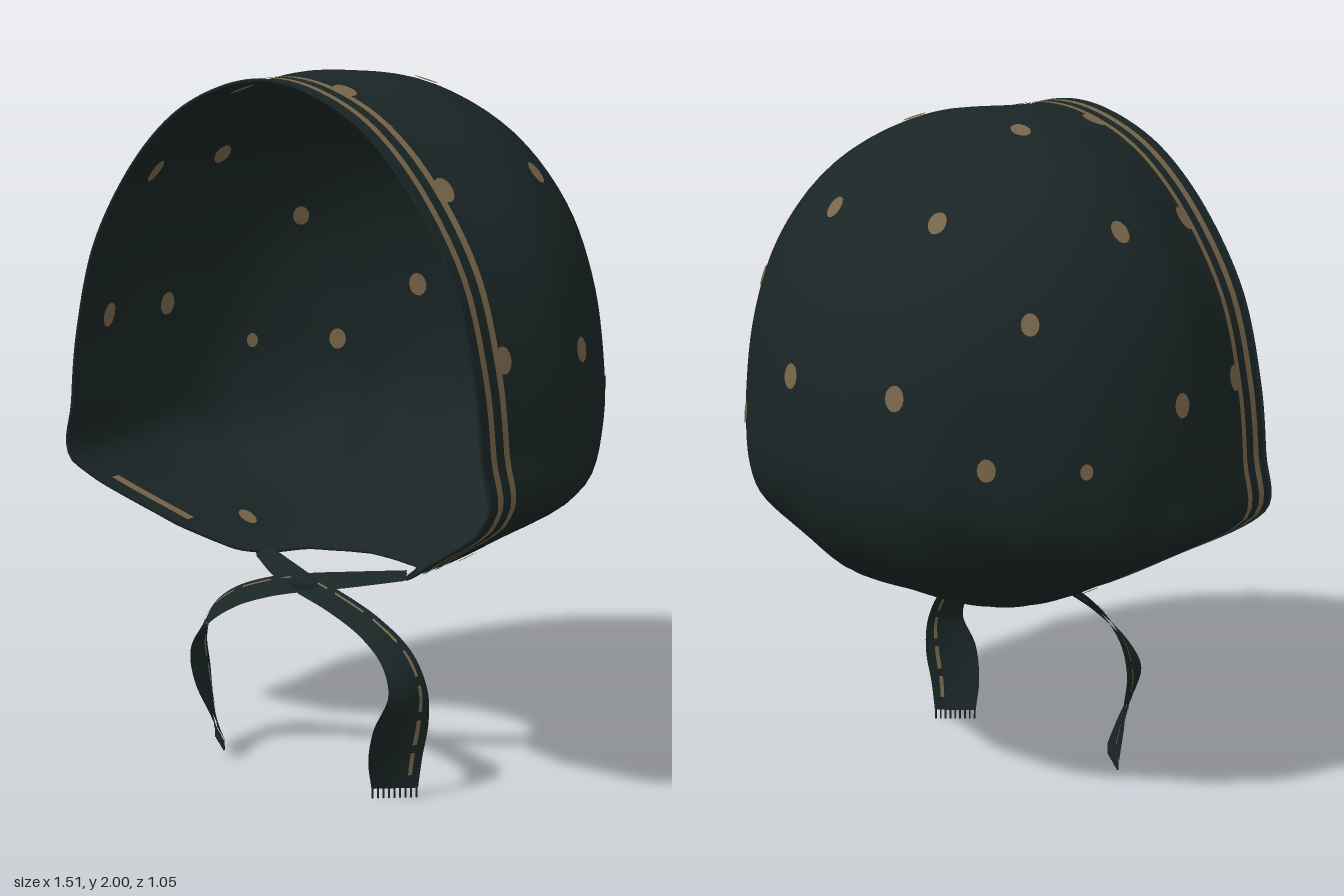
import * as THREE from 'three';
import { mergeVertices } from 'three/addons/utils/BufferGeometryUtils.js';

const { smoothstep, lerp, clamp } = THREE.MathUtils;
const V = (x, y, z) => new THREE.Vector3(x, y, z);

const cloth = new THREE.MeshStandardMaterial({ name: 'dark green cloth', color: 0x1a2525, side: THREE.DoubleSide });
const tan = new THREE.MeshStandardMaterial({ name: 'tan print', color: 0x78664a, side: THREE.DoubleSide });

// Half outlines (x, y) from crown to chin, mirrored into smooth curves
const mirrored = (half) => new THREE.SplineCurve([
  ...half.slice(1).reverse().map(([x, y]) => new THREE.Vector2(-x, y)),
  ...half.map(([x, y]) => new THREE.Vector2(x, y)),
]);
const neck = [[0.49, 0.715], [0.25, 0.593], [0, 0.583]];
const faceOutline = mirrored([[0, 1.99], [0.16, 1.96], [0.325, 1.875], [0.48, 1.72], [0.615, 1.5], [0.685, 1.25], [0.712, 1.04], [0.72, 0.87], ...neck]);
const sideOutline = mirrored([[0, 2], [0.2, 1.98], [0.41, 1.875], [0.575, 1.715], [0.69, 1.5], [0.738, 1.25], [0.75, 1.03], [0.733, 0.87], ...neck]);
const backOutline = mirrored([[0, 2], [0.22, 1.983], [0.43, 1.885], [0.6, 1.7], [0.695, 1.48], [0.738, 1.25], [0.74, 1.04], [0.67, 0.84], ...neck]);

// Front edge and neck rim: z for each outline position t (0 crown, 1 nape)
const edge = [[0, 0.52], [0.7, 0.52], [0.74, 0.48], [0.82, 0.38], [0.88, 0.27], [0.9, 0.19], [0.92, 0.068], [0.94, 0.042], [0.96, 0.028], [1, 0.02]];
const BACK = -0.525;
const MID_Y = 1.1;
const MID_Z = 0.15;
function edgeZ(t) {
  const a = Math.min(Math.abs(t), 1);
  let i = 1;
  while (i < edge.length - 1 && edge[i][0] < a) i++;
  const [t0, z0] = edge[i - 1], [t1, z1] = edge[i];
  return lerp(z0, z1, (a - t0) / (t1 - t0));
}

const bump = (a, centre, width) => Math.exp(-(((a - centre) / width) ** 2));

// Point of the hood at outline position t (-1..1) and depth z
function hoodPoint(t, z) {
  const u = clamp((t + 1) / 2, 0, 1), a = Math.abs(t);
  const q = clamp((MID_Z - z) / (MID_Z - BACK), 0, 1);
  const p = sideOutline.getPoint(u)
    .lerp(faceOutline.getPoint(u), smoothstep(z, 0.12, 0.46))
    .lerp(backOutline.getPoint(u), smoothstep(q, 0, 0.6));
  const round = Math.pow(1 - Math.pow(q, 2.1), 1 / 2.1);
  // Gathered folds: one pushed out on the left, one drawn in on the right
  const turn = Math.atan2(p.x * round, MID_Z - z + 0.01);
  const fade = (1 - smoothstep(a, 0.7, 0.88)) * smoothstep(q, 0.05, 0.4);
  const ripple = smoothstep(a, 0.45, 0.65) * (0.01 * Math.cos(16 * turn) + 0.08 * bump(turn, 0.62, 0.11));
  const drawn = smoothstep(a, 0.3, 0.55) * 0.09 * bump(turn, -0.66, 0.2);
  const s = round * (1 + fade * (ripple - drawn));
  return V(p.x * s, MID_Y + (p.y - MID_Y) * s, z);
}

function hoodNormal(t, z) {
  const e = 0.004;
  const dt = hoodPoint(t + e, z).sub(hoodPoint(t - e, z));
  const dz = hoodPoint(t, z + e).sub(hoodPoint(t, z - e));
  const n = dt.cross(dz).normalize();
  return n.dot(hoodPoint(t, z).sub(V(0, MID_Y, MID_Z))) < 0 ? n.negate() : n;
}

// Sheet whose vertices follow fn(u, v), with u and v in 0..1
function sheet(nu, nv, fn) {
  const g = new THREE.PlaneGeometry(1, 1, nu, nv);
  const pos = g.attributes.position;
  for (let i = 0; i < pos.count; i++) {
    const p = fn(pos.getX(i) + 0.5, pos.getY(i) + 0.5);
    pos.setXYZ(i, p.x, p.y, p.z);
  }
  g.deleteAttribute('uv');
  g.deleteAttribute('normal');
  const merged = mergeVertices(g, 1e-5);
  merged.computeVertexNormals();
  return merged;
}

function add(parent, name, geometry, material) {
  const mesh = new THREE.Mesh(geometry, material);
  mesh.name = name;
  parent.add(mesh);
  return mesh;
}

// Printed band on the hood, between two distances from the front edge
function band(parent, t0, t1, from, to, offset) {
  add(parent, 'borderStripe', sheet(Math.round((t1 - t0) * 50), 2, (u, v) => {
    const t = lerp(t0, t1, u);
    const z = edgeZ(t) - lerp(from, to, v);
    return hoodPoint(t, z).addScaledVector(hoodNormal(t, z), offset);
  }), tan);
}

// Strap centre line with half-width vectors, for the end hanging on +x
const strapPath = new THREE.CatmullRomCurve3([
  V(-0.25, 0.598, 0.2), V(-0.11, 0.582, 0.285), V(0, 0.568, 0.335), V(0.12, 0.54, 0.355), V(0.25, 0.485, 0.36),
  V(0.34, 0.41, 0.358), V(0.378, 0.32, 0.36), V(0.36, 0.22, 0.366), V(0.335, 0.12, 0.358), V(0.32, 0.03, 0.34)]);
const strapWidth = new THREE.CatmullRomCurve3([
  V(-0.012, -0.005, 0.024), V(-0.015, -0.012, 0.03), V(-0.008, -0.018, 0.028), V(-0.006, -0.024, 0.022), V(-0.014, -0.022, 0.026),
  V(-0.02, -0.014, 0.04), V(-0.022, -0.004, 0.058), V(-0.038, 0, 0.075), V(-0.048, 0, 0.06), V(-0.05, 0, 0.042)]);

function strapPoint(u, f, offset = 0) {
  const w = strapWidth.getPoint(u);
  const n = strapPath.getTangent(u).cross(w).normalize();
  return strapPath.getPoint(u).addScaledVector(w, f).addScaledVector(n, offset);
}

function makeStrap(name, side, lift) {
  const strap = new THREE.Group();
  strap.name = name;
  const place = (p) => V(p.x * side, p.y + lift * smoothstep(0.6 - p.y, 0, 0.55), p.z + (side > 0 ? 0.012 : 0));
  for (const o of [-0.004, 0.004]) {
    add(strap, 'strapCloth', sheet(6, 60, (f, u) => place(strapPoint(u, f * 2 - 1, o))), cloth);
    // Broken printed line near the outer edge
    for (let i = 0; i < 7; i++) {
      add(strap, 'strapLine', sheet(1, 8, (f, u) => place(strapPoint(0.22 + (i + u * 0.75) * 0.108, -0.52 - f * 0.16, o * 1.7))), tan);
    }
  }
  // Frayed threads
  for (let i = 0; i < 9; i++) {
    const thread = add(strap, 'fringe', new THREE.BoxGeometry(0.004, 0.03, 0.004), cloth);
    thread.position.copy(place(strapPoint(1, -0.95 + i * 0.237))).y -= 0.015;
  }
  return strap;
}

export function createModel() {
  const model = new THREE.Group();
  model.name = 'headscarf';

  // Hood, from the back pole to the face and neck opening
  add(model, 'hood', sheet(100, 60, (u, v) => {
    const t = u * 2 - 1;
    return hoodPoint(t, BACK + (edgeZ(t) - BACK) * (1 - Math.cos(v * Math.PI / 2)));
  }), cloth);

  // Rolled hem around the opening
  const hem = [];
  for (let i = 0; i <= 100; i++) {
    const t = i / 50 - 1;
    hem.push(hoodPoint(t, edgeZ(t) - 0.004));
  }
  add(model, 'hem', new THREE.TubeGeometry(new THREE.CatmullRomCurve3(hem), 200, 0.005, 6), cloth);

  // Two printed border stripes, showing through inside the lower flaps
  band(model, -0.86, 0.86, 0.04, 0.065, 0.004);
  band(model, -0.86, 0.86, 0.1, 0.123, 0.004);
  band(model, 0.74, 0.82, 0.05, 0.08, -0.004);
  band(model, -0.82, -0.74, 0.05, 0.08, -0.004);

  // Printed dots (x, y, z, radius), in mirrored pairs and showing on both faces
  const dots = [
    [0.19, 1.76, -0.31, 0.027], [0.5, 1.53, -0.29, 0.025], [0.19, 1.96, 0.03, 0.028], [0.56, 1.74, 0.02, 0.028],
    [0.19, 1.31, -0.492, 0.029], [0.45, 1.13, -0.39, 0.026], [0.62, 1.13, -0.22, 0.018], [0.73, 1.27, 0.07, 0.028],
    [0.18, 1.97, 0.385, 0.03], [0.52, 1.73, 0.385, 0.03], [0.72, 1.29, 0.385, 0.03], [0.39, 0.67, 0.11, 0.026],
  ];
  for (const [x, y, z, radius] of dots) {
    let t = 0, best = Infinity;
    for (let i = 0; i <= 300; i++) {
      const d = hoodPoint(i / 300, z).distanceTo(V(x, y, z));
      if (d < best) { best = d; t = i / 300; }
    }
    for (const side of [1, -1]) {
      const n = hoodNormal(t * side, z);
      for (const o of [-0.005, 0.005]) {
        const dot = add(model, 'dot', new THREE.CircleGeometry(radius, 14), tan);
        dot.scale.y = 1.25;
        dot.position.copy(hoodPoint(t * side, z)).addScaledVector(n, o);
        dot.lookAt(dot.position.clone().add(n));
      }
    }
  }

  // Tied straps under the chin
  model.add(makeStrap('leftStrap', 1, 0), makeStrap('rightStrap', -1, 0.03));
  const knot = add(model, 'knot', new THREE.SphereGeometry(1, 16, 10), cloth);
  knot.scale.set(0.055, 0.028, 0.028);
  knot.position.set(0, 0.566, 0.345);

  return model;
}
